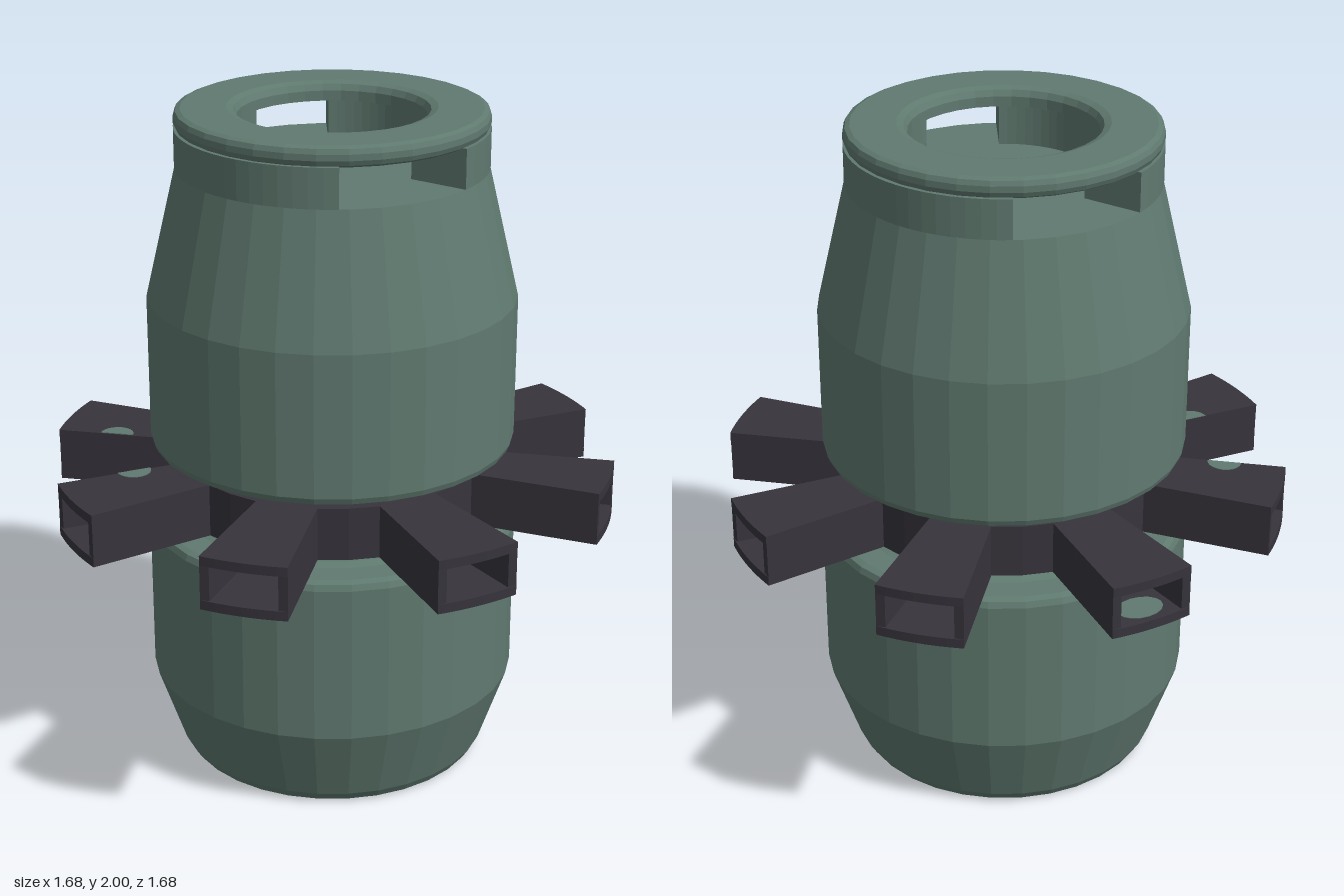
import * as THREE from 'three';

const SIDES = 32;
const ARMS = 8;

export function createModel() {
  const model = new THREE.Group();
  const green = new THREE.MeshStandardMaterial({ color: 0x607a70, flatShading: true });
  green.name = 'greyGreen';
  const dark = new THREE.MeshStandardMaterial({ color: 0x37343c, flatShading: true });
  dark.name = 'charcoal';

  const add = (parent, name, geometry, material) => {
    const mesh = new THREE.Mesh(geometry, material);
    mesh.name = name;
    parent.add(mesh);
    return mesh;
  };
  const lathe = (points) =>
    new THREE.LatheGeometry(points.map(([r, y]) => new THREE.Vector2(r, y)), SIDES);
  // Extrudes a plan shape upward from y0 to y1 (shape y becomes -z)
  const slab = (shape, y0, y1, curveSegments = 8) =>
    new THREE.ExtrudeGeometry(shape, { depth: y1 - y0, bevelEnabled: false, curveSegments })
      .rotateX(-Math.PI / 2)
      .translate(0, y0, 0);

  // Lower shell, hollow underneath, with rounded rims and a neck above it
  add(model, 'lowerBody', lathe([
    [0, 0.62], [0.38, 0.62], [0.38, 0.3], [0.28, 0.015], [0.29, 0],
    [0.43, 0], [0.453, 0.008], [0.47, 0.035], [0.55, 0.27],
    [0.55, 0.745], [0.543, 0.763], [0.525, 0.77],
    [0.45, 0.77], [0.425, 0.778], [0.41, 0.8], [0.41, 0.88], [0, 0.88],
  ]), green);

  // Upper shell ending in the flat floor of the collar
  add(model, 'upperBody', lathe([
    [0, 0.88], [0.41, 0.88], [0.41, 0.965], [0.425, 0.99], [0.45, 1],
    [0.515, 1], [0.533, 1.007], [0.54, 1.025],
    [0.54, 1.45], [0.45, 1.83], [0, 1.83],
  ]), green);

  // Two collar walls leave a slot at the front and the back
  const half = THREE.MathUtils.degToRad(64);
  for (const turn of [0, Math.PI]) {
    const wall = new THREE.Shape();
    wall.absarc(0, 0, 0.45, turn - half, turn + half, false);
    wall.absarc(0, 0, 0.27, turn + half, turn - half, true);
    wall.closePath();
    add(model, turn ? 'rightCollarWall' : 'leftCollarWall', slab(wall, 1.83, 1.945, 12), green);
  }

  // Rounded ring on top of the collar
  add(model, 'collarRim', lathe([
    [0.27, 1.945], [0.43, 1.94], [0.444, 1.948], [0.45, 1.962],
    [0.45, 1.98], [0.444, 1.994], [0.43, 2],
    [0.3, 2], [0.28, 1.993], [0.27, 1.975], [0.27, 1.945],
  ]), green);

  // Dark band around the neck
  add(model, 'hubRing', lathe([
    [0.39, 0.8], [0.46, 0.8], [0.46, 0.96], [0.39, 0.96], [0.39, 0.8],
  ]), dark);

  // Tapered arm plan with an end that follows a circle about the axis
  const R0 = 0.44, R1 = 0.84, W0 = 0.09, W1 = 0.125;
  const tip = Math.asin(W1 / R1);
  const plate = new THREE.Shape();
  plate.moveTo(R0, W0);
  plate.lineTo(R0, -W0);
  plate.absarc(0, 0, R1, -tip, tip, false);
  plate.closePath();

  const sideWall = (s) => {
    const t = 0.027;
    return new THREE.Shape([
      new THREE.Vector2(R0, s * (W0 - t)), new THREE.Vector2(0.83, s * (W1 - t)),
      new THREE.Vector2(0.83, s * W1), new THREE.Vector2(R0, s * W0),
    ]);
  };

  // Half-round paint patch resting on one edge of an arm
  const patch = (x, s) => {
    const shape = new THREE.Shape();
    const start = s > 0 ? Math.PI + 0.087 : -0.087;
    shape.absarc(x, s * 0.106, 0.05, start, start + Math.PI, false);
    shape.closePath();
    return shape;
  };

  // Hollow rectangular arms, open at the outer end
  for (let i = 0; i < ARMS; i++) {
    const arm = new THREE.Group();
    arm.name = 'arm' + (i + 1);
    arm.rotation.y = (i * Math.PI * 2) / ARMS;
    add(arm, 'armTop', slab(plate, 0.932, 0.96), dark);
    add(arm, 'armBottom', slab(plate, 0.8, 0.828), dark);
    for (const s of [-1, 1]) add(arm, 'armSide', slab(sideWall(s), 0.828, 0.932), dark);

    if (i === 3) add(arm, 'paintPatch', slab(patch(0.65, 1), 0.96, 0.962), green);
    if (i === 4) add(arm, 'paintPatch', slab(patch(0.6, -1), 0.96, 0.962), green);
    if (i === 2) {
      const spot = new THREE.Shape();
      spot.absellipse(0.77, 0, 0.05, 0.07, 0, Math.PI * 2, false, 0);
      add(arm, 'innerPaintPatch', slab(spot, 0.828, 0.83), green);
    }
    model.add(arm);
  }

  return model;
}
